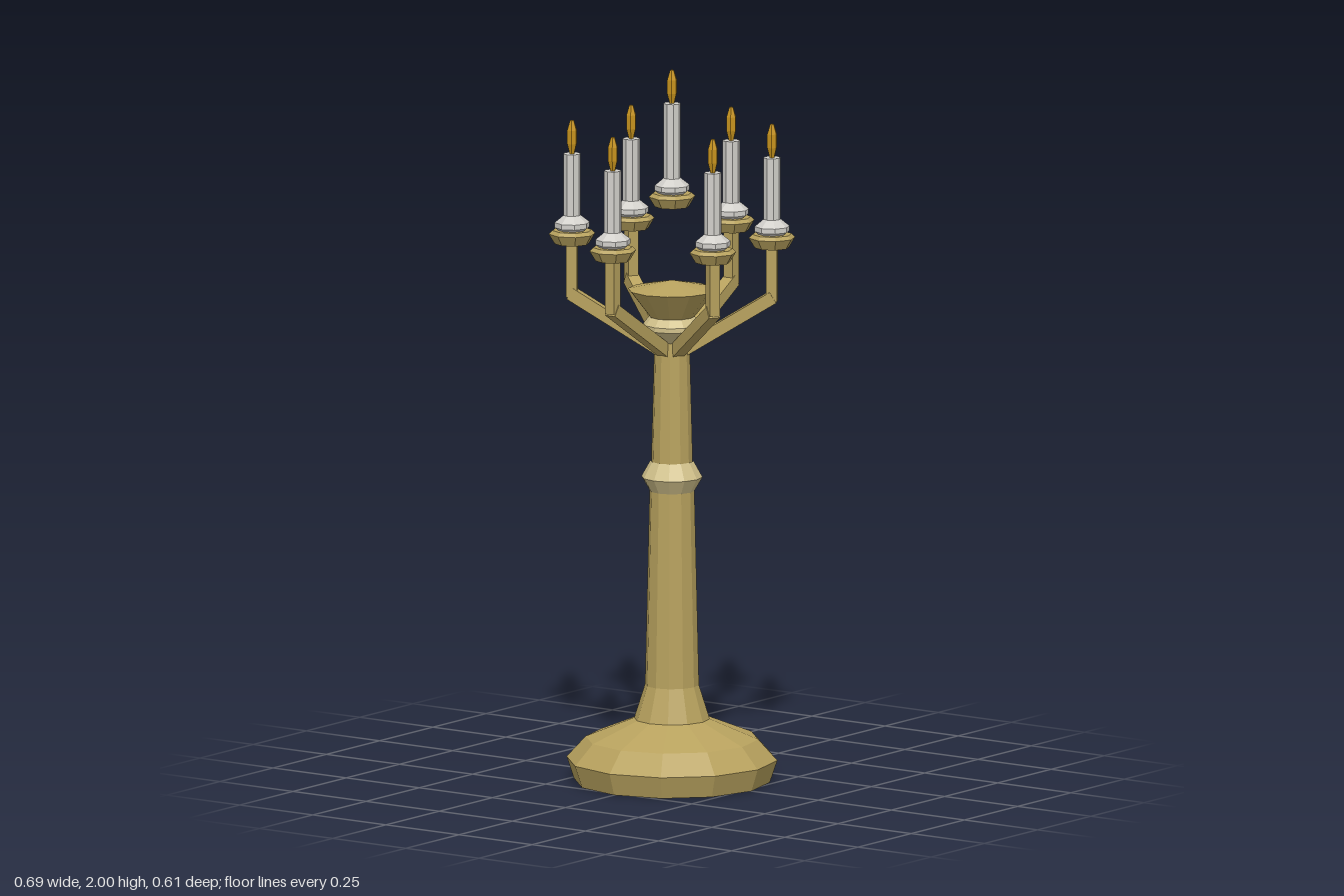
import * as THREE from 'three';

const flat = (name, color) => {
  const m = new THREE.MeshStandardMaterial({ color, flatShading: true });
  m.name = name;
  return m;
};

export function createModel() {
  const model = new THREE.Group();
  model.name = 'candelabra';
  const brass = flat('brass', 0xb8a25e);
  const paleBrass = flat('paleBrass', 0xd2c28c);
  const wax = flat('wax', 0xd2d0cb);
  const flameGold = flat('flameGold', 0xc8941e);

  // Faceted turned part from [radius, height] pairs, bottom to top
  const turned = (parent, name, profile, sides, material) => {
    const points = profile.map(([r, y]) => new THREE.Vector2(r, y));
    const mesh = new THREE.Mesh(new THREE.LatheGeometry(points, sides), material);
    mesh.name = name;
    parent.add(mesh);
    return mesh;
  };

  // Foot and column
  turned(model, 'foot', [[0, 0], [0.272, 0], [0.293, 0.062], [0.24, 0.12], [0.105, 0.175], [0, 0.175]], 12, brass);
  turned(model, 'column', [[0.105, 0.175], [0.075, 0.27], [0.062, 0.83], [0.058, 0.88], [0.05, 1.2], [0.045, 1.26], [0, 1.26]], 12, brass);
  turned(model, 'columnCollar', [[0.06, 0.812], [0.085, 0.855], [0.06, 0.9]], 12, paleBrass);

  // Neck ring and flared crown
  turned(model, 'neckRing', [[0.045, 1.235], [0.08, 1.272], [0.08, 1.285], [0.06, 1.31]], 12, paleBrass);
  turned(model, 'crown', [[0, 1.305], [0.062, 1.305], [0.122, 1.382], [0, 1.408]], 12, brass);

  // Drip pan, wax and flame; y is the pan's underside, top the candle's upper end
  const addCandle = (x, z, y, top) => {
    const candle = new THREE.Group();
    candle.name = 'candle';
    candle.position.set(x, 0, z);
    turned(candle, 'dripPan', [[0, y], [0.048, y], [0.065, y + 0.028], [0.055, y + 0.038], [0, y + 0.038]], 8, brass);
    turned(candle, 'meltedWax', [[0.036, y + 0.036], [0.049, y + 0.046], [0.049, y + 0.06], [0.024, y + 0.08]], 8, wax);
    turned(candle, 'candleStick', [[0.024, y + 0.06], [0.024, top], [0, top]], 8, wax);
    turned(candle, 'flame', [[0, top], [0.007, top], [0.0145, top + 0.028], [0.0145, top + 0.066], [0.006, top + 0.093], [0, top + 0.095]], 6, flameGold);
    model.add(candle);
  };

  // Square bar in the XY plane from a to b
  const addBar = (parent, name, a, b, width) => {
    const dx = b[0] - a[0], dy = b[1] - a[1];
    const bar = new THREE.Mesh(new THREE.BoxGeometry(Math.hypot(dx, dy), width, width), brass);
    bar.position.set((a[0] + b[0]) / 2, (a[1] + b[1]) / 2, 0);
    bar.rotation.z = Math.atan2(dy, dx);
    bar.name = name;
    parent.add(bar);
  };

  // Six branching arms around the column
  const reach = 0.278;
  for (let i = 0; i < 6; i++) {
    const angle = (i * Math.PI) / 3;
    const arm = new THREE.Group();
    arm.name = 'arm';
    arm.rotation.y = -angle;
    addBar(arm, 'slantedArm', [0.005, 1.196], [reach + 0.004, 1.366], 0.035);
    addBar(arm, 'uprightArm', [reach, 1.355], [reach, 1.51], 0.031);
    model.add(arm);
    addCandle(reach * Math.cos(angle), reach * Math.sin(angle), 1.505, 1.758);
  }

  // Central raised candle
  addCandle(0, 0, 1.615, 1.905);
  return model;
}
